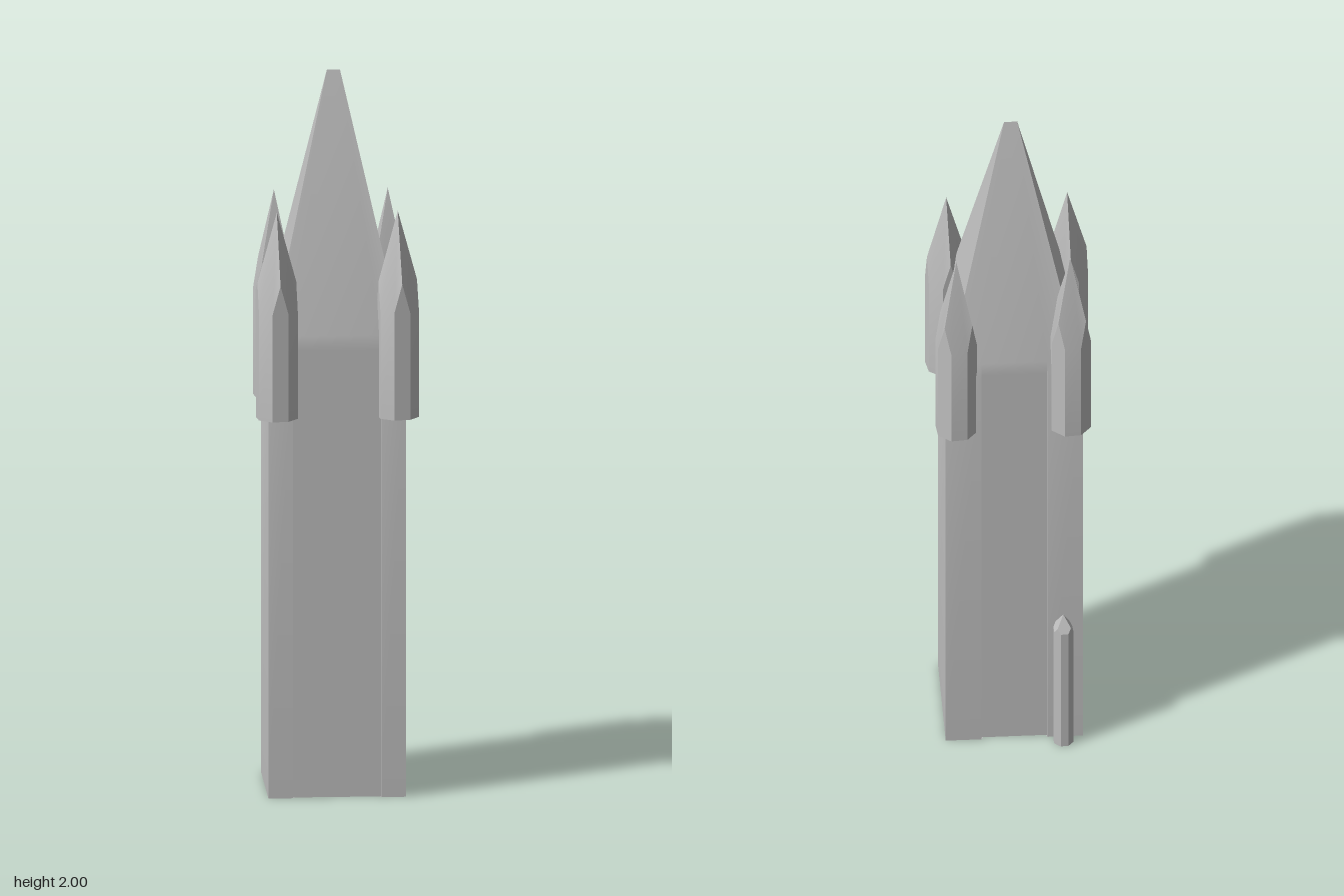
import * as THREE from 'three';
import { toCreasedNormals } from 'three/addons/utils/BufferGeometryUtils.js';

// Skin a stack of rings (arrays of [x, y, z], listed from +x towards +z) and close the bottom
function loft(rings) {
  const pos = [];
  const tri = (a, b, c) => {
    const [p, q, r] = [a, b, c].map((v) => new THREE.Vector3(...v));
    if (q.sub(p).cross(r.sub(p)).length() > 1e-9) pos.push(...a, ...b, ...c);
  };
  const n = rings[0].length;
  for (let i = 0; i < n; i++) {
    const j = (i + 1) % n;
    tri([0, rings[0][0][1], 0], rings[0][i], rings[0][j]);
    for (let k = 0; k + 1 < rings.length; k++) {
      const lo = rings[k], hi = rings[k + 1];
      tri(lo[i], hi[i], lo[j]);
      tri(lo[j], hi[i], hi[j]);
    }
  }
  const geo = new THREE.BufferGeometry();
  geo.setAttribute('position', new THREE.Float32BufferAttribute(pos, 3));
  return toCreasedNormals(geo, 0.45);
}

// Rectangular shaft with recessed front and back panels, tapering to a short ridge
function towerGeometry() {
  const U = 0.188, V = 0.168, N = 0.159, front = 0.121, back = 0.09;
  const eave = 1.25, panelTop = 1.29, ridge = 0.018;
  const outline = (u, v, y) => [
    [u, y, v], [front, y, v], [front, y, N], [-front, y, N], [-front, y, v], [-u, y, v],
    [-u, y, -v], [-back, y, -v], [-back, y, -N], [back, y, -N], [back, y, -v], [u, y, -v],
  ];
  const top = outline(U, V, 2).map(([x]) => [THREE.MathUtils.clamp(x, -ridge, ridge), 2, 0]);
  return loft([outline(U, V, 0), outline(U, V, eave), outline(0.179, N, panelTop), top]);
}

// Octagonal turret under a four-ridged spire, each ridge meeting a gabled side
function turretGeometry(r, base, gable, apex) {
  const w = r * 0.414, low = apex - (apex - gable) * 1.414;
  const eaves = [];
  for (let s = 0; s < 4; s++) {
    const c = Math.round(Math.cos(s * Math.PI / 2)), d = Math.round(Math.sin(s * Math.PI / 2));
    for (const t of [-w, 0, w]) eaves.push([r * c - t * d, t ? low : gable, r * d + t * c]);
  }
  return loft([
    eaves.map(([x, , z]) => [x, base, z]),
    eaves,
    eaves.map(() => [0, apex, 0]),
  ]);
}

export function createModel() {
  const group = new THREE.Group();
  const stone = new THREE.MeshStandardMaterial({ color: 0xbfbfbf });
  stone.name = 'grey stone';

  const add = (name, geo, x, z, turn) => {
    const mesh = new THREE.Mesh(geo, stone);
    mesh.name = name;
    mesh.position.set(x, 0, z);
    mesh.rotation.y = turn;
    group.add(mesh);
  };

  add('tower', towerGeometry(), 0.002, 0.002, -0.27);

  // Corner turrets
  const turret = turretGeometry(0.054, 1.06, 1.44, 1.635);
  add('frontRightTurret', turret, -0.195, 0.1, -0.14);
  add('frontLeftTurret', turret, 0.125, 0.185, -0.1);
  add('backLeftTurret', turret, 0.193, -0.097, 0.61);
  add('backRightTurret', turret, -0.108, -0.178, 0.6);

  // Small stair turret at the foot of the back wall
  add('stairTurret', turretGeometry(0.026, 0, 0.4, 0.435), -0.076, -0.213, 0.6);

  return group;
}
